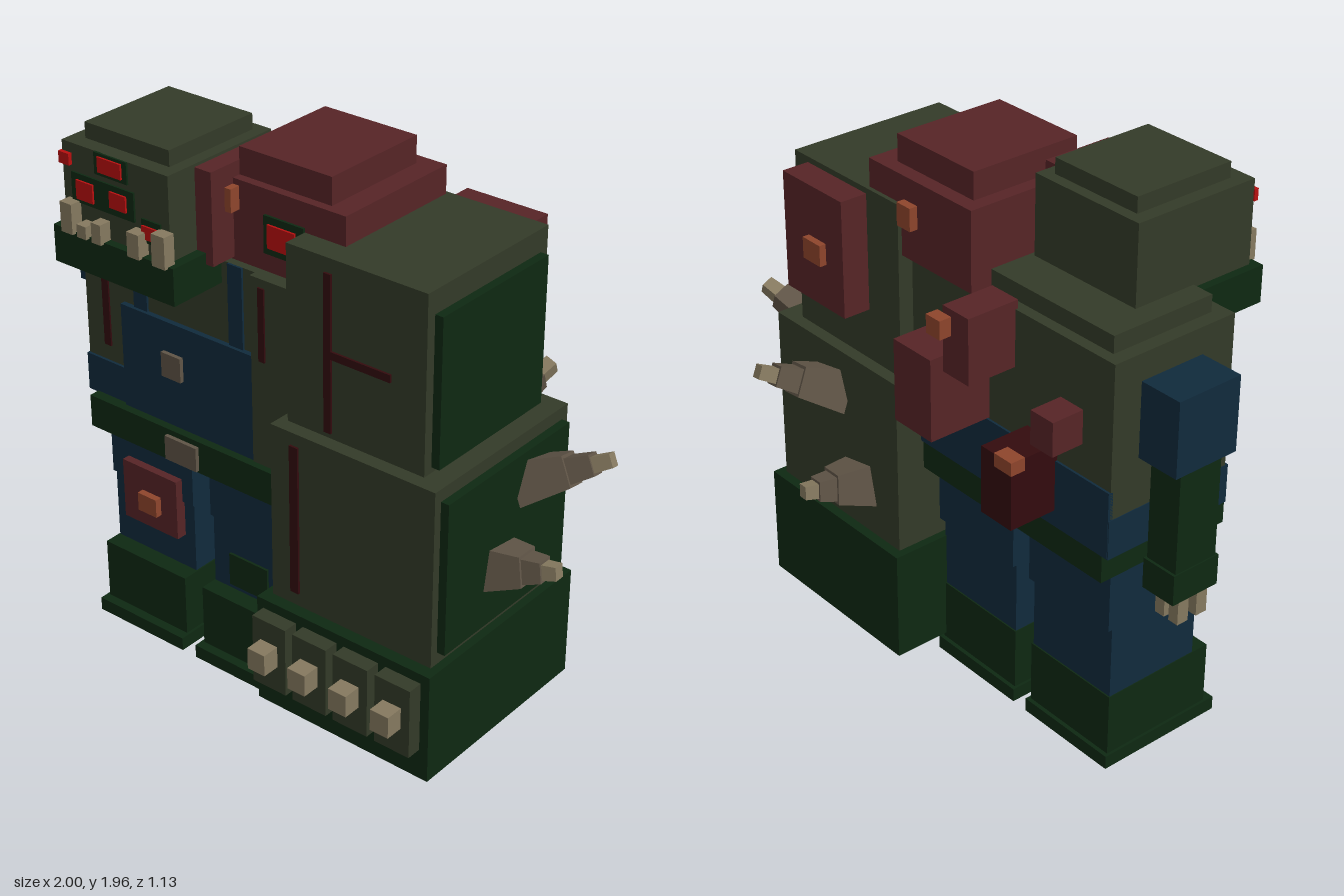
import * as THREE from 'three';

const mat = (name, color) => {
  const m = new THREE.MeshStandardMaterial({ color });
  m.name = name;
  return m;
};

export function createModel() {
  const olive = mat('olive skin', 0x333a28);
  const green = mat('dark green', 0x0e2812);
  const blue = mat('navy cloth', 0x102a3c);
  const red = mat('growth red', 0x562426);
  const maroon = mat('dark maroon', 0x330b0e);
  const orange = mat('blister orange', 0x8e452c);
  const eye = mat('eye red', 0xb80f0f);
  const brown = mat('horn brown', 0x5f5446);
  const bone = mat('bone', 0x85795f);

  const model = new THREE.Group();
  model.name = 'mutant';
  let part;
  const group = (name) => {
    part = new THREE.Group();
    part.name = name;
    model.add(part);
  };
  // box given by its limits on each axis
  const box = (name, m, x0, x1, y0, y1, z0, z1) => {
    const mesh = new THREE.Mesh(new THREE.BoxGeometry(x1 - x0, y1 - y0, z1 - z0), m);
    mesh.position.set((x0 + x1) / 2, (y0 + y1) / 2, (z0 + z1) / 2);
    mesh.name = name;
    part.add(mesh);
  };

  // torso with overalls and belt
  group('torso');
  box('chest', olive, -0.84, 0.1, 0.885, 1.56, -0.2, 0.29);
  box('shoulderTop', olive, -0.79, 0.05, 1.56, 1.62, -0.16, 0.24);
  box('swollenSide', olive, -0.08, 0.1, 0.885, 1.56, 0.1, 0.315);
  box('waistBand', blue, -0.843, 0.06, 0.88, 1.02, -0.206, 0.3);
  box('overallsBack', blue, -0.84, 0.06, 0.885, 1.12, -0.208, -0.19);
  box('bib', blue, -0.66, -0.08, 0.88, 1.27, 0.28, 0.31);
  for (const x of [-0.61, -0.19]) box('strap', blue, x, x + 0.06, 1.27, 1.56, 0.285, 0.298);
  box('bibButton', brown, -0.47, -0.385, 1.07, 1.16, 0.31, 0.325);
  box('belt', green, -0.8, 0.07, 0.765, 0.885, -0.19, 0.34);
  box('buckle', brown, -0.44, -0.3, 0.775, 0.865, 0.34, 0.355);
  box('scar', maroon, -0.045, -0.02, 1.27, 1.53, 0.315, 0.321);
  box('scar', maroon, -0.76, -0.73, 1.08, 1.495, 0.29, 0.296);

  // legs and boots
  group('legs');
  for (const x of [-0.6, -0.14]) {
    box('thigh', blue, x - 0.19, x + 0.19, 0.55, 0.77, -0.14, 0.26);
    box('shin', blue, x - 0.185, x + 0.185, 0.27, 0.55, -0.12, 0.25);
    box('boot', green, x - 0.188, x + 0.19, 0.05, 0.28, -0.125, 0.315);
    box('sole', green, x - 0.198, x + 0.2, 0, 0.05, -0.14, 0.35);
  }
  box('kneeGrowth', red, -0.71, -0.46, 0.41, 0.64, 0.24, 0.29);
  box('kneeBlister', orange, -0.62, -0.535, 0.48, 0.55, 0.29, 0.315);
  box('trouserPatch', green, -0.25, -0.08, 0.3, 0.425, 0.245, 0.259);

  // thin right arm
  group('rightArm');
  box('sleeve', blue, -1, -0.84, 1.2, 1.465, -0.09, 0.16);
  box('forearm', green, -0.98, -0.855, 0.8, 1.2, -0.05, 0.12);
  box('hand', green, -0.985, -0.85, 0.72, 0.83, -0.06, 0.13);
  for (const x of [-0.97, -0.91])
    for (const z of [-0.02, 0.06]) box('finger', bone, x, x + 0.04, 0.62, 0.72, z, z + 0.045);

  // head, jaw, eyes and teeth
  group('head');
  box('skull', olive, -0.71, -0.257, 1.6, 1.9, 0, 0.48);
  box('skullCap', olive, -0.66, -0.3, 1.9, 1.955, 0.04, 0.425);
  box('jaw', green, -0.74, -0.22, 1.48, 1.61, 0.12, 0.51);
  for (const [x0, x1, y0, y1] of [[-0.565, -0.425, 1.825, 1.9], [-0.67, -0.4, 1.705, 1.805], [-0.37, -0.29, 1.65, 1.73]])
    box('eyeSocket', green, x0, x1, y0, y1, 0.478, 0.487);
  for (const [x0, x1, y0, y1] of [[-0.545, -0.445, 1.838, 1.89], [-0.645, -0.572, 1.72, 1.785],
    [-0.5, -0.43, 1.73, 1.785], [-0.365, -0.3, 1.665, 1.71], [-0.715, -0.67, 1.825, 1.865]])
    box('eye', eye, x0, x1, y0, y1, 0.478, 0.494);
  for (const [x0, x1, y1] of [[-0.69, -0.64, 1.71], [-0.62, -0.58, 1.65], [-0.555, -0.515, 1.675],
    [-0.4, -0.35, 1.69], [-0.295, -0.24, 1.715]])
    box('tooth', bone, x0, x1, 1.605, y1, 0.48, 0.525);

  // swollen growth on the left shoulder
  group('shoulderGrowth');
  box('growth', red, -0.24, 0.26, 1.56, 1.84, -0.24, 0.26);
  box('growthTop', red, -0.19, 0.18, 1.84, 1.935, -0.188, 0.228);
  box('neckGrowth', red, -0.257, -0.19, 1.57, 1.89, 0.1, 0.36);
  box('blister', orange, -0.19, -0.165, 1.74, 1.82, 0.26, 0.3);
  box('backBlister', orange, 0.02, 0.085, 1.68, 1.76, -0.27, -0.24);
  box('eyeSocket', green, -0.06, 0.1, 1.625, 1.755, 0.26, 0.269);
  box('eye', eye, -0.04, 0.07, 1.65, 1.73, 0.269, 0.277);

  // giant left arm
  group('leftArm');
  box('upperArm', olive, 0.1, 0.64, 1.12, 1.74, -0.255, 0.35);
  box('upperPanel', green, 0.64, 0.67, 1.14, 1.66, -0.22, 0.315);
  box('forearm', olive, 0.07, 0.72, 0.47, 1.12, -0.3, 0.4);
  box('forearmPanel', green, 0.72, 0.75, 0.52, 1.075, -0.27, 0.37);
  box('fist', green, 0.04, 0.75, 0.067, 0.475, -0.335, 0.445);
  box('scar', maroon, 0.252, 0.28, 1.14, 1.69, 0.35, 0.358);
  box('scar', maroon, 0.28, 0.51, 1.403, 1.43, 0.35, 0.358);
  box('scar', maroon, 0.152, 0.186, 0.525, 1.075, 0.4, 0.408);
  for (let i = 0; i < 4; i++) {
    const x = 0.136 + i * 0.17;
    box('knuckle', olive, x - 0.07, x + 0.07, 0.18, 0.44, 0.445, 0.5);
    box('knuckleSpur', bone, x - 0.036, x + 0.036, 0.28, 0.36, 0.5, 0.565);
  }

  // growths on the back
  group('backGrowths');
  box('growth', red, -0.71, -0.61, 1.23, 1.35, -0.32, -0.2);
  box('darkGrowth', maroon, -0.6, -0.46, 0.94, 1.18, -0.385, -0.2);
  box('blister', orange, -0.605, -0.525, 1.14, 1.187, -0.39, -0.335);
  box('growth', red, -0.4, -0.28, 1.36, 1.59, -0.385, -0.19);
  box('blister', orange, -0.32, -0.255, 1.5, 1.565, -0.43, -0.385);
  box('growth', red, -0.28, -0.1, 1.125, 1.415, -0.435, -0.2);
  box('armGrowth', red, 0.26, 0.57, 1.305, 1.72, -0.355, -0.25);
  box('blister', orange, 0.35, 0.44, 1.465, 1.54, -0.38, -0.355);

  // stepped four-sided spikes on the giant arm
  const spike = (from, to) => {
    const a = new THREE.Vector3(...from);
    const dir = new THREE.Vector3(...to).sub(a);
    const length = dir.length();
    const g = new THREE.Group();
    g.name = 'spike';
    for (const [start, end, w0, w1, m] of [[-0.1, 0.5, 0.15, 0.105, brown], [0.5, 0.78, 0.085, 0.07, brown], [0.78, 1, 0.052, 0.046, bone]]) {
      const geo = new THREE.CylinderGeometry(w1 * Math.SQRT1_2, w0 * Math.SQRT1_2, (end - start) * length, 4).toNonIndexed();
      geo.rotateY(Math.PI / 4);
      geo.computeVertexNormals();
      const seg = new THREE.Mesh(geo, m);
      seg.name = 'spikeSegment';
      seg.position.y = (start + end) / 2 * length;
      g.add(seg);
    }
    g.position.copy(a);
    g.quaternion.setFromUnitVectors(new THREE.Vector3(0, 1, 0), dir.normalize());
    model.add(g);
  };
  spike([0.74, 0.95, -0.08], [0.985, 1.075, -0.165]);
  spike([0.74, 0.72, 0.09], [0.955, 0.76, 0.06]);
  spike([0.42, 0.96, -0.3], [0.49, 1.08, -0.55]);
  spike([0.28, 0.655, -0.3], [0.32, 0.675, -0.51]);

  return model;
}
